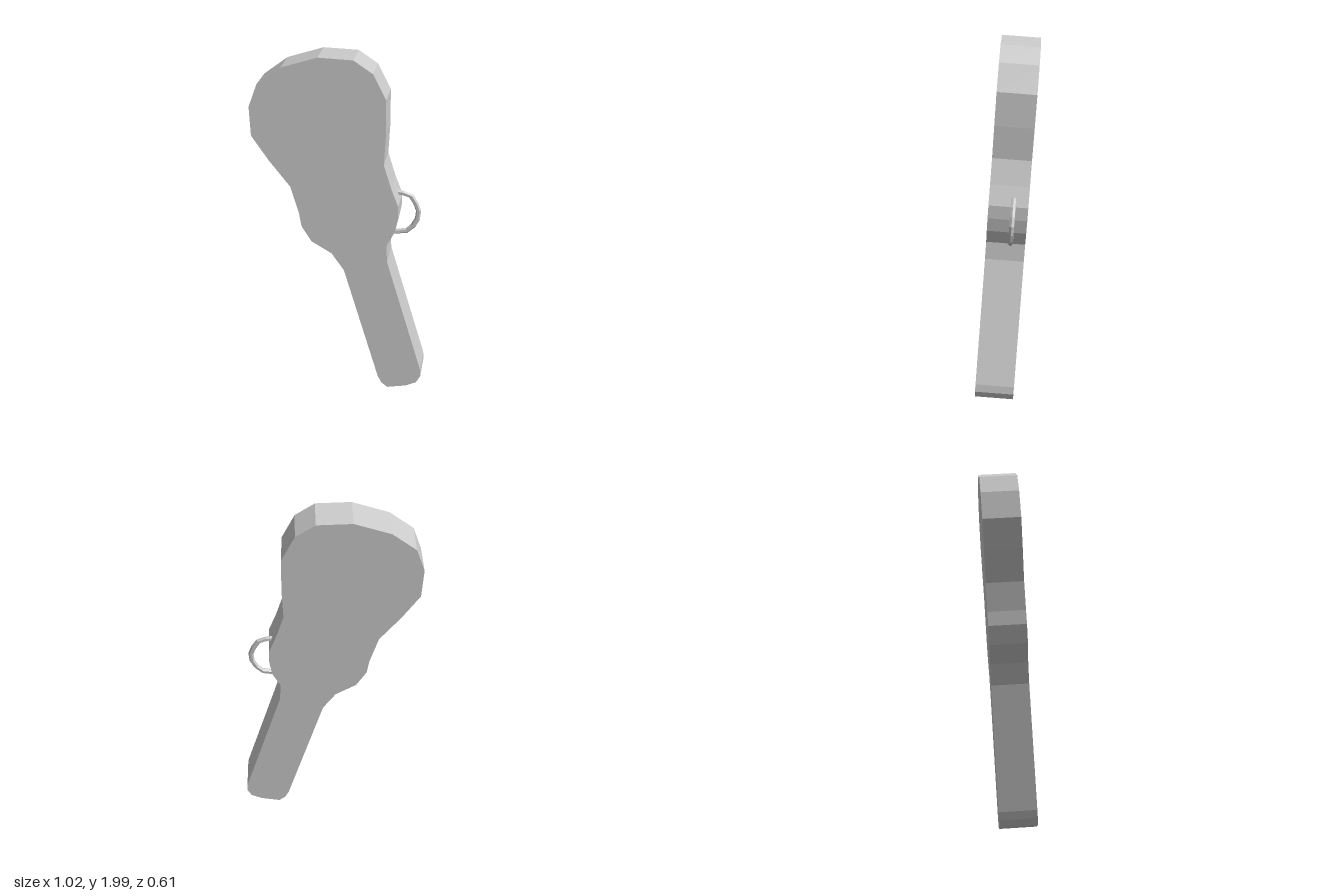
import * as THREE from 'three';

// Lean of the tilted case: flat outline (x, y) with t running from back (0) to front (1)
const DX = 0.11, DY = 0.015, DZ = 0.185;
const lean = new THREE.Matrix4().set(
  1, 0, DX, -DX,
  0, 1, DY, -DY,
  -DX / DZ, -DY / DZ, DZ, 0.195 - DZ,
  0, 0, 0, 1
);

// Case outline, counter-clockwise from the top
const outline = [
  [-0.09, 2.0], [-0.26, 1.935], [-0.37, 1.835], [-0.405, 1.705], [-0.39, 1.54], [-0.3, 1.4],
  [-0.193, 1.255], [-0.145, 1.1], [-0.13, 1.02], [-0.077, 0.93], [0.024, 0.865], [0.09, 0.765],
  [0.295, 0.09], [0.315, 0.05], [0.347, 0.022], [0.44, 0.043], [0.49, 0.07], [0.51, 0.115],
  [0.505, 0.16], [0.299, 0.835], [0.29, 0.935], [0.325, 1.02], [0.335, 1.1], [0.333, 1.175],
  [0.293, 1.28], [0.25, 1.415], [0.25, 1.6], [0.24, 1.785], [0.172, 1.925], [0.077, 1.995],
];

// Carry handle path on the side of the case
const handlePath = [
  [0.3, 1.212], [0.375, 1.2], [0.42, 1.125], [0.424, 1.065], [0.385, 0.985], [0.29, 0.968],
];

export function createModel() {
  const group = new THREE.Group();
  group.name = 'instrumentCase';
  const material = new THREE.MeshStandardMaterial({ color: 0xcccccc, flatShading: true });

  // Body: one slab extruded from the outline
  const shape = new THREE.Shape(outline.map(([x, y]) => new THREE.Vector2(x, y)));
  const bodyGeometry = new THREE.ExtrudeGeometry(shape, { depth: 1, bevelEnabled: false });
  bodyGeometry.applyMatrix4(lean);
  bodyGeometry.computeVertexNormals();
  const body = new THREE.Mesh(bodyGeometry, material);
  body.name = 'caseBody';
  group.add(body);

  // Handle: faceted curved grip
  const points = handlePath.map(([x, y]) => new THREE.Vector3(x, y, 0.38).applyMatrix4(lean));
  const curve = new THREE.CatmullRomCurve3(points, false, 'catmullrom', 0.3);
  const handle = new THREE.Mesh(new THREE.TubeGeometry(curve, 9, 0.015, 6), material);
  handle.name = 'carryHandle';
  group.add(handle);

  return group;
}
